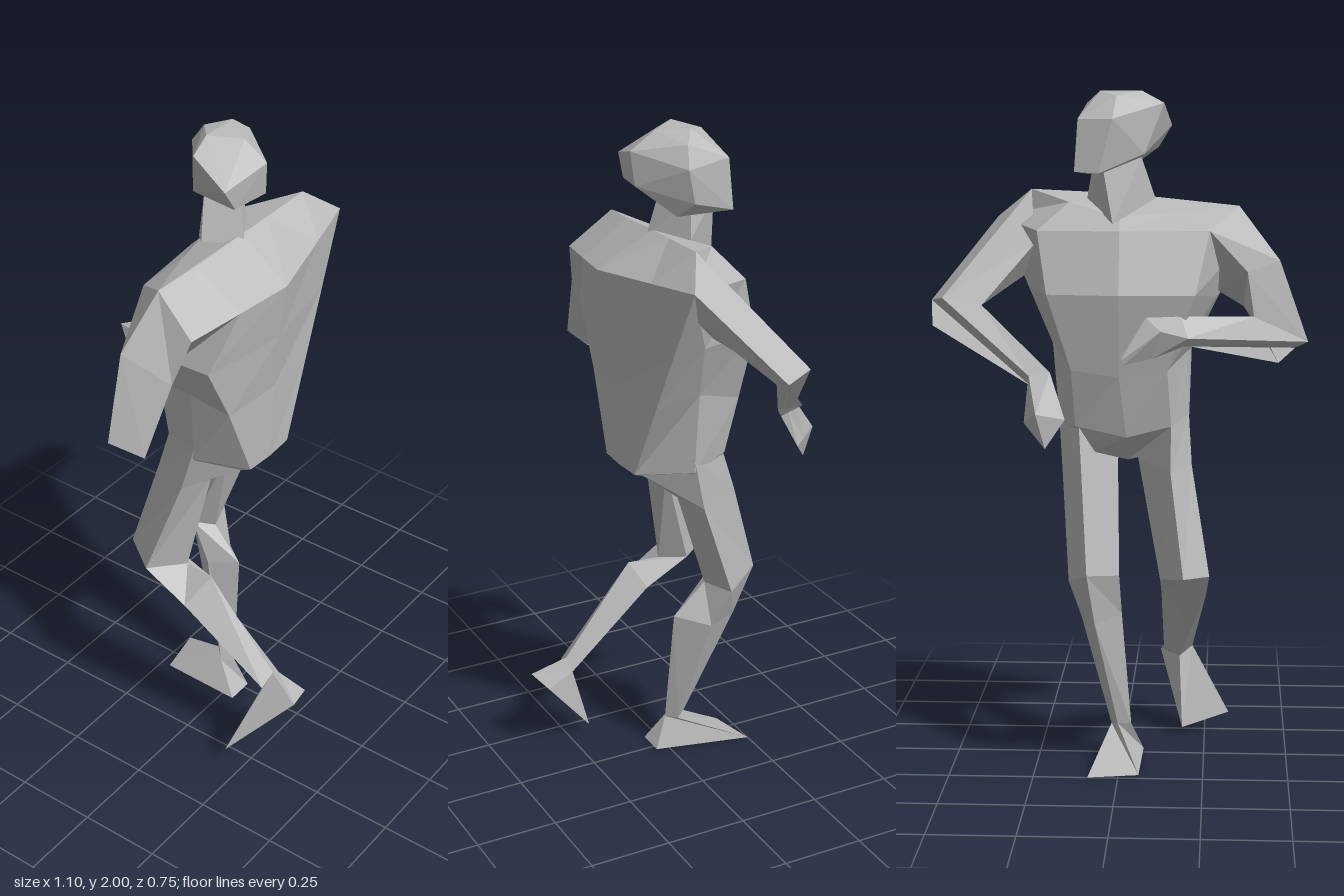
import * as THREE from 'three';
import { ConvexGeometry } from 'three/addons/geometries/ConvexGeometry.js';

const v = (p) => new THREE.Vector3(...p);

// Skins a list of cross-section rings (equal point counts) and closes both ends.
function loft(rings) {
  const n = rings[0].length;
  const tris = [];
  for (let r = 0; r < rings.length - 1; r++) {
    for (let i = 0; i < n; i++) {
      const j = (i + 1) % n;
      const a = rings[r][i], b = rings[r][j], c = rings[r + 1][j], d = rings[r + 1][i];
      tris.push([a, b, c], [a, c, d]);
    }
  }
  const first = rings[0], last = rings[rings.length - 1];
  for (let i = 1; i < n - 1; i++) {
    tris.push([first[0], first[i + 1], first[i]], [last[0], last[i], last[i + 1]]);
  }
  // turn every face outward, judged by the signed volume
  let volume = 0;
  for (const [a, b, c] of tris) volume += v(a).dot(v(b).cross(v(c)));
  const out = tris.map(([a, b, c]) => (volume < 0 ? [a, c, b] : [a, b, c]));
  const g = new THREE.BufferGeometry();
  g.setAttribute('position', new THREE.Float32BufferAttribute(out.flat(2), 3));
  g.computeVertexNormals();
  return g;
}

export function createModel() {
  const group = new THREE.Group();
  group.name = 'runningFigure';
  const grey = new THREE.MeshStandardMaterial({ color: 0xb8b8b8, flatShading: true });
  grey.name = 'grey';
  const add = (name, geometry) => {
    const m = new THREE.Mesh(geometry, grey);
    m.name = name;
    group.add(m);
  };

  // Torso: rings from crotch to shoulder ridge, starting at the spine
  add('torso', loft([
    [[-.02, .93, .03], [.015, .93, .03], [.12, .95, 0], [.08, .95, -.1], [-.02, .92, -.06], [-.12, .95, -.1], [-.16, .95, 0], [-.05, .93, .03]],
    [[-.02, .99, .145], [.075, .99, .14], [.185, 1.01, 0], [.13, 1.03, -.13], [-.02, 1, -.15], [-.15, 1.03, -.13], [-.2, 1.02, 0], [-.11, .99, .14]],
    [[-.01, 1.235, .15], [.187, 1.23, .127], [.205, 1.26, -.005], [.14, 1.2, -.17], [0, 1.18, -.18], [-.14, 1.2, -.17], [-.195, 1.24, -.01], [-.205, 1.23, .134]],
    [[-.02, 1.42, .177], [.276, 1.42, .117], [.28, 1.43, .02], [.21, 1.42, -.18], [0, 1.42, -.215], [-.22, 1.42, -.2], [-.28, 1.4, 0], [-.3, 1.42, .132]],
    [[-.03, 1.6, .203], [.2, 1.617, .148], [.375, 1.63, .105], [.24, 1.6, -.13], [0, 1.6, -.15], [-.26, 1.6, -.12], [-.37, 1.565, .13], [-.2, 1.583, .168]],
    [[-.01, 1.7, .035], [.1, 1.705, .04], [.27, 1.713, .045], [.15, 1.68, -.07], [0, 1.64, -.11], [-.15, 1.65, -.07], [-.345, 1.667, 0], [-.2, 1.68, .02]],
  ]));

  // Neck
  add('neck', loft([
    [[-.02, 1.68, .05], [.1, 1.69, -.03], [.02, 1.62, -.14], [-.1, 1.69, -.04]],
    [[0, 1.81, .02], [.08, 1.8, -.04], [.05, 1.79, -.13], [-.06, 1.81, -.06]],
  ]));

  // Head: faceted hull with the chin turned to one side
  add('head', new ConvexGeometry([
    [-.06, 2, -.05], [0, 1.99, .035], [.06, 2, -.05], [.01, 1.985, -.11],
    [0, 1.94, .11], [-.125, 1.965, -.045], [-.145, 1.9, .075], [-.105, 1.835, .08],
    [.01, 1.84, .1], [.1, 1.965, -.02], [.127, 1.9, -.01], [.125, 1.8, -.03],
    [-.03, 1.78, .02], [.075, 1.755, 0], [.13, 1.77, -.15], [.06, 1.765, -.16],
    [.02, 1.92, -.16], [.12, 1.92, -.14], [-.07, 1.82, -.09],
  ].map(v)));

  // Left arm: shoulder, elbow, wrist, fingertips; ring order top, back, tip, under, front
  add('leftArm', loft([
    [[.27, 1.713, .045], [.375, 1.63, .105], [.33, 1.53, .07], [.29, 1.46, 0], [.25, 1.56, -.08]],
    [[.51, 1.41, -.185], [.553, 1.395, -.09], [.545, 1.325, -.14], [.435, 1.375, -.12], [.395, 1.39, -.19]],
    [[.25, 1.2, -.3], [.255, 1.185, -.27], [.25, 1.165, -.25], [.215, 1.17, -.26], [.19, 1.21, -.295]],
    [[.225, 1.1, -.375], [.25, 1.08, -.33], [.265, 1.065, -.3], [.2, 1, -.36], [.145, 1.08, -.335]],
  ]));
  // Right arm: shoulder, upper arm, elbow, wrist, hand, fingertips
  add('rightArm', loft([
    [[-.345, 1.667, 0], [-.37, 1.565, .13], [-.28, 1.42, 0], [-.26, 1.6, -.12]],
    [[-.465, 1.51, -.04], [-.42, 1.44, .1], [-.36, 1.37, .02], [-.37, 1.48, -.09]],
    [[-.55, 1.27, -.025], [-.515, 1.24, .075], [-.465, 1.2, .03], [-.39, 1.35, -.09]],
    [[-.2, 1.3, -.225], [-.19, 1.275, -.2], [-.15, 1.28, -.16], [-.18, 1.36, -.19]],
    [[-.125, 1.33, -.32], [-.1, 1.25, -.29], [-.06, 1.26, -.22], [-.08, 1.36, -.23]],
    [[-.015, 1.25, -.335], [-.02, 1.235, -.33], [-.02, 1.235, -.31], [-.015, 1.26, -.315]],
  ]));

  // Legs: hip, thigh, knee, calf, ankle; ring order back, outer, front, inner
  const leftAnkle = [[0, .1, 0], [.03, .1, -.03], [.01, .11, -.06], [-.03, .1, -.03]];
  add('leftLeg', loft([
    [[.075, .995, .13], [.188, 1.05, 0], [.12, 1.03, -.13], [.01, .95, 0]],
    [[.08, .89, 0], [.175, .88, -.04], [.11, .9, -.175], [.01, .9, -.03]],
    [[.05, .57, -.11], [.15, .57, -.15], [.09, .61, -.26], [0, .59, -.16]],
    [[.04, .47, -.01], [.115, .45, -.1], [.07, .45, -.2], [-.005, .46, -.1]],
    leftAnkle,
  ]));
  const rightAnkle = [[-.16, .3, .265], [-.21, .27, .26], [-.17, .24, .24], [-.12, .27, .26]];
  add('rightLeg', loft([
    [[-.11, .995, .13], [-.2, 1.05, 0], [-.15, 1.03, -.13], [-.04, .95, 0]],
    [[-.12, .9, 0], [-.21, .9, -.04], [-.15, .9, -.17], [-.05, .92, -.03]],
    [[-.16, .575, -.06], [-.265, .585, -.14], [-.19, .6, -.25], [-.12, .575, -.14]],
    [[-.17, .575, .04], [-.255, .5, 0], [-.18, .45, -.01], [-.12, .5, 0]],
    rightAnkle,
  ]));

  // Feet: ankle down to the sole
  add('leftFoot', loft([leftAnkle, [[.02, 0, .04], [.09, 0, -.25], [-.06, 0, -.22], [-.065, 0, .04]]]));
  add('rightFoot', loft([rightAnkle, [[-.195, .25, .37], [-.325, .07, .205], [-.18, .025, .18], [-.107, .235, .35]]]));

  return group;
}
